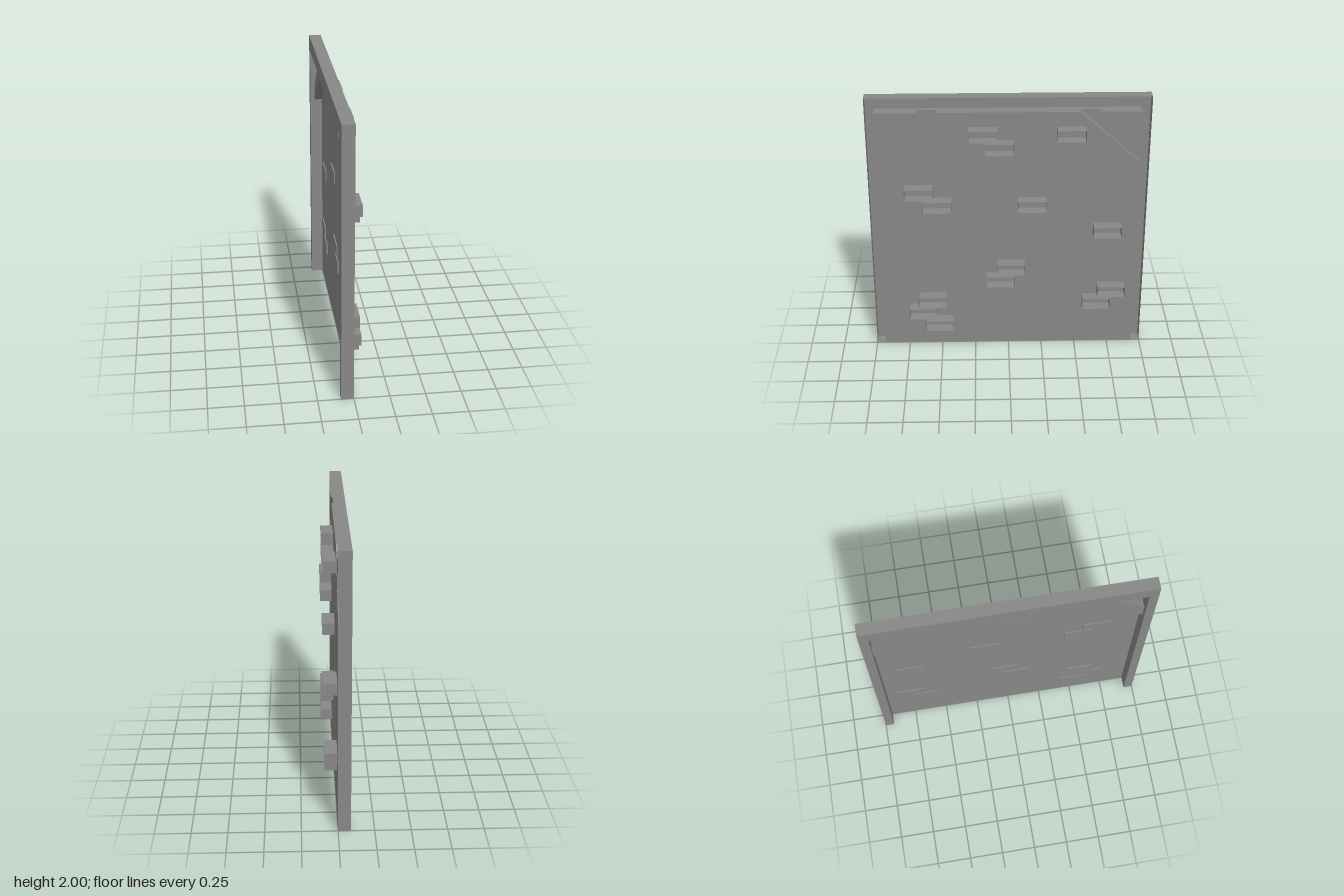
import * as THREE from 'three';

const material = new THREE.MeshStandardMaterial({
  color: 0x878787, flatShading: true, side: THREE.DoubleSide,
});

const mirror = (outline, s) => outline.map(([z, y, end]) => [z * s, y, end]);

// Thin sheet at x, or a shell with a cap at x and side walls up to xOpen (left open there).
// Outline points are [z, y]; a third value ends the wall that starts at that point early.
function shell(name, outline, x, xOpen = x) {
  const pts = outline.map(([z, y]) => new THREE.Vector2(z, y));
  const pos = [];
  const put = (p, px) => pos.push(px, p.y, p.x);
  for (const tri of THREE.ShapeUtils.triangulateShape(pts.slice(), [])) {
    for (const i of tri) put(pts[i], x);
  }
  pts.forEach((a, i) => {
    const b = pts[(i + 1) % pts.length];
    const end = outline[i][2] ?? xOpen;
    if (end === x) return;
    put(a, x); put(a, end); put(b, end);
    put(a, x); put(b, end); put(b, x);
  });
  const geometry = new THREE.BufferGeometry();
  geometry.setAttribute('position', new THREE.Float32BufferAttribute(pos, 3));
  geometry.computeVertexNormals();
  const mesh = new THREE.Mesh(geometry, material);
  mesh.name = name;
  return mesh;
}

export function createModel() {
  const model = new THREE.Group();
  model.name = 'timberFramedWall';

  const inner = 0.935, beamY = 1.89;        // opening inside the posts and beam
  const lowY = 1.5, lowZ = 0.5;             // lower edge of the corner braces
  const highY = 1.63, highZ = 0.64;         // upper edge of the corner braces
  const frameX = -0.088, braceX = -0.055;   // outer faces of the timbers

  // Two posts and the top beam, hollow towards +x, open into the braces
  model.add(shell('postsAndBeam', [
    [-1, 0], [-inner, 0], [-inner, lowY, braceX], [-inner, highY],
    [-inner, beamY], [-highZ, beamY, braceX], [-lowZ, beamY],
    [lowZ, beamY, braceX], [highZ, beamY], [inner, beamY],
    [inner, highY, braceX], [inner, lowY], [inner, 0], [1, 0], [1, 2], [-1, 2],
  ], frameX, 0));

  // Wall sheet, cut off at the braces
  model.add(shell('wallPanel', [
    [-inner, 0], [inner, 0], [inner, lowY], [lowZ, beamY],
    [-lowZ, beamY], [-inner, lowY],
  ], 0));

  // Diagonal braces with open ends, and the bits of wall left in the corners
  for (const s of [-1, 1]) {
    const side = s > 0 ? 'front' : 'back';
    model.add(shell(side + 'Brace', mirror([
      [inner, lowY, braceX], [inner, highY], [highZ, beamY, braceX], [lowZ, beamY],
    ], s), braceX, 0));
    model.add(shell(side + 'CornerPanel', mirror([
      [inner, highY], [inner, beamY], [highZ, beamY],
    ], s), 0));
  }

  // Exposed bricks, open at the back: [lowest z, lowest y]
  const bricks = new THREE.Group();
  bricks.name = 'bricks';
  const length = 0.203, height = 0.085;
  const places = [
    [-0.543, 1.697], [0.077, 1.697], [-0.037, 1.597],
    [0.54, 1.25], [0.411, 1.149], [-0.272, 1.149], [-0.82, 0.933],
    [-0.12, 0.632], [-0.042, 0.53],
    [-0.863, 0.434], [-0.754, 0.335],
    [0.46, 0.357], [0.533, 0.259], [0.415, 0.154],
  ];
  for (const [z, y] of places) {
    bricks.add(shell('brick', [
      [z, y], [z + length, y], [z + length, y + height], [z, y + height],
    ], -0.009, 0.087));
  }
  model.add(bricks);
  return model;
}
